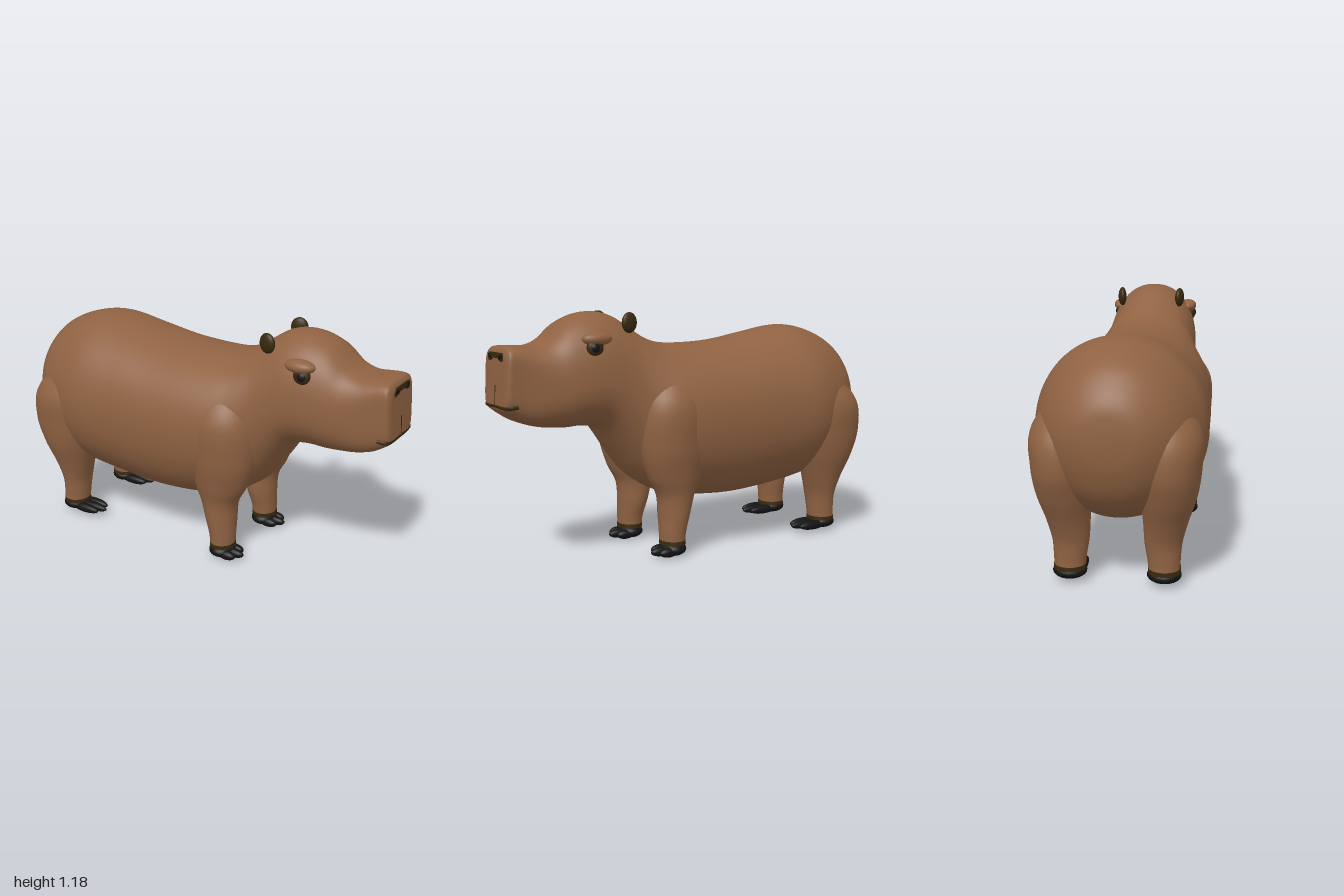
import * as THREE from 'three';

const mat = (name, color) => {
  const m = new THREE.MeshStandardMaterial({ color });
  m.name = name;
  return m;
};

// Closed smooth skin through rings of points (all rings the same length)
function loft(rings) {
  const n = rings[0].length, pts = rings.flat(), idx = [];
  for (let i = 0; i < rings.length - 1; i++) {
    for (let j = 0; j < n; j++) {
      const k = (j + 1) % n, a = i * n + j, b = i * n + k, c = a + n, d = b + n;
      idx.push(a, c, b, b, c, d);
    }
  }
  const mid = ring => ring.reduce((s, p) => s.add(p), new THREE.Vector3()).divideScalar(n);
  const s = pts.length, last = (rings.length - 1) * n;
  pts.push(mid(rings[0]), mid(rings[rings.length - 1]));
  for (let j = 0; j < n; j++) {
    const k = (j + 1) % n;
    idx.push(s, j, k, s + 1, last + k, last + j);
  }
  const g = new THREE.BufferGeometry().setFromPoints(pts);
  g.setIndex(idx);
  g.computeVertexNormals();
  return g;
}

// Smoothly resample rows of numbers, three columns per curve
function resample(rows, steps) {
  const curves = [0, 3].map(o => new THREE.CatmullRomCurve3(
    rows.map(r => new THREE.Vector3(r[o], r[o + 1], r[o + 2] ?? 0)), false, 'catmullrom'));
  return Array.from({ length: steps + 1 }, (_, i) =>
    curves.flatMap(c => c.getPoint(i / steps).toArray()));
}

const power = (v, e) => Math.sign(v) * Math.abs(v) ** e;

// Rump to muzzle: x, bottom, top, half width, height of widest point, squareness
const BODY = [
  [-1.0, 0.66, 0.76, 0.05, 0.71, 2], [-0.985, 0.57, 0.85, 0.14, 0.71, 2],
  [-0.94, 0.46, 0.93, 0.22, 0.70, 2], [-0.86, 0.37, 1.01, 0.295, 0.69, 2],
  [-0.74, 0.30, 1.065, 0.352, 0.68, 2], [-0.6, 0.27, 1.086, 0.387, 0.67, 2.05],
  [-0.4, 0.245, 1.055, 0.377, 0.66, 2.1], [-0.2, 0.235, 1.022, 0.367, 0.65, 2.15],
  [0.0, 0.25, 1.012, 0.355, 0.65, 2.15], [0.15, 0.28, 1.02, 0.335, 0.66, 2.1],
  [0.25, 0.33, 1.05, 0.295, 0.69, 2.1], [0.34, 0.40, 1.105, 0.252, 0.75, 2.1],
  [0.42, 0.51, 1.155, 0.235, 0.81, 2.1], [0.5, 0.62, 1.175, 0.23, 0.85, 2.15],
  [0.59, 0.645, 1.168, 0.222, 0.86, 2.2], [0.68, 0.643, 1.13, 0.205, 0.85, 2.3],
  [0.76, 0.65, 1.06, 0.182, 0.84, 2.6], [0.83, 0.662, 1.03, 0.163, 0.85, 3.2],
  [0.9, 0.685, 1.03, 0.147, 0.87, 4], [0.95, 0.715, 1.031, 0.141, 0.88, 4.6],
  [0.98, 0.737, 1.027, 0.138, 0.88, 5], [0.992, 0.748, 1.015, 0.13, 0.88, 5],
  [0.999, 0.765, 0.995, 0.112, 0.88, 5],
];

function bodyGeometry() {
  return loft(resample(BODY, 110).map(([x, lo, hi, w, cy, n]) =>
    Array.from({ length: 72 }, (_, j) => {
      const a = j / 72 * Math.PI * 2, s = power(Math.sin(a), 2 / n);
      const y = cy + s * (s > 0 ? hi - cy : cy - lo);
      // the face leans back slightly towards its top
      const lean = (y - 0.76) * 0.05 * THREE.MathUtils.smoothstep(x, 0.85, 0.98);
      return new THREE.Vector3(x - lean, y, w * power(Math.cos(a), 2 / n));
    })));
}

// Leg rows: y, centre x, centre z, radius x, radius z
const HIND = [
  [0.06, -0.745, 0.212, 0.066, 0.07], [0.12, -0.742, 0.21, 0.068, 0.074],
  [0.2, -0.74, 0.207, 0.076, 0.084], [0.3, -0.742, 0.217, 0.108, 0.1],
  [0.42, -0.75, 0.23, 0.155, 0.125], [0.55, -0.75, 0.235, 0.193, 0.139],
  [0.7, -0.74, 0.235, 0.18, 0.138], [0.86, -0.71, 0.19, 0.09, 0.09],
];
const FORE = [
  [0.06, 0.19, 0.205, 0.06, 0.068], [0.12, 0.188, 0.203, 0.064, 0.073],
  [0.2, 0.177, 0.197, 0.076, 0.085], [0.3, 0.168, 0.197, 0.096, 0.09],
  [0.4, 0.175, 0.2, 0.14, 0.11], [0.55, 0.185, 0.2, 0.17, 0.138],
  [0.75, 0.19, 0.19, 0.16, 0.145], [0.92, 0.18, 0.14, 0.08, 0.08],
];

function legGeometry(rows, side) {
  return loft(resample(rows, 40).map(([y, cx, cz, rx, rz]) =>
    Array.from({ length: 36 }, (_, j) => {
      const a = j / 36 * Math.PI * 2;
      return new THREE.Vector3(cx + rx * Math.cos(a), y, side * cz + rz * Math.sin(a));
    })));
}

export function createModel() {
  const model = new THREE.Group();
  model.name = 'rodent';
  const fur = mat('brown fur', 0x8f6242);
  const dark = mat('dark brown skin', 0x38290f);
  const black = mat('black hoof', 0x141414);

  const add = (name, geo, material, x = 0, y = 0, z = 0) => {
    const m = new THREE.Mesh(geo, material);
    m.name = name;
    m.position.set(x, y, z);
    model.add(m);
    return m;
  };
  const ball = (name, material, p, r) => {
    const m = add(name, new THREE.SphereGeometry(1, 28, 18), material, ...p);
    m.scale.set(...r);
    return m;
  };

  add('body', bodyGeometry(), fur);

  for (const side of [1, -1]) {
    const label = side > 0 ? 'Left' : 'Right';

    // Legs, ankle bands and feet with three toes
    for (const [kind, rows, base, reach] of [['hind', HIND, 0.012, 0.13], ['front', FORE, 0.0, 0.055]]) {
      const [, cx, cz, rx, rz] = rows[0];
      add(kind + 'Leg' + label, legGeometry(rows, side), fur);
      const band = add(kind + 'Ankle' + label, new THREE.CylinderGeometry(1.03, 1.05, 0.02, 36),
        dark, cx, 0.07, side * cz);
      band.scale.set(rx, 1, rz);
      ball(kind + 'Foot' + label, black, [cx, base + 0.036, side * cz], [rx * 1.08, 0.036, rz * 1.1]);
      for (const t of [-1, 0, 1]) {
        const len = reach - Math.abs(t) * 0.025;
        ball(kind + 'Toe' + label, black, [cx + 0.03 + len / 2, base + 0.028, side * cz + t * 0.04],
          [0.035 + len / 2, 0.024, 0.024]);
      }
    }

    // Ears
    const ear = ball('ear' + label, dark, [0.39, 1.125, side * 0.152], [0.043, 0.048, 0.021]);
    ear.rotation.y = -side * 0.2;

    // Eyes under soft brows
    ball('brow' + label, fur, [0.575, 1.058, side * 0.18], [0.075, 0.032, 0.044]);
    ball('eye' + label, dark, [0.592, 1.018, side * 0.192], [0.042, 0.042, 0.026]);
    ball('pupil' + label, black, [0.597, 1.018, side * 0.2], [0.026, 0.026, 0.022]);

    // Nostrils
    const nostril = ball('nostril' + label, black, [0.99, 0.984, side * 0.055], [0.005, 0.01, 0.025]);
    nostril.rotation.x = -side * 0.35;
  }

  // Nose pad
  const pad = new THREE.Shape();
  pad.moveTo(-0.07, 1.003);
  pad.lineTo(0.07, 1.003);
  pad.quadraticCurveTo(0.09, 0.985, 0.075, 0.965);
  pad.quadraticCurveTo(0.04, 0.965, 0.03, 0.978);
  pad.lineTo(-0.03, 0.978);
  pad.quadraticCurveTo(-0.04, 0.965, -0.075, 0.965);
  pad.quadraticCurveTo(-0.09, 0.985, -0.07, 1.003);
  const padGeo = new THREE.ExtrudeGeometry(pad, { depth: 0.009, bevelEnabled: false });
  padGeo.rotateY(Math.PI / 2);
  add('nose', padGeo, dark, 0.982);

  // Mouth line wrapping round the muzzle, and the groove above it
  const lip = [[0.945, 0.768, 0.136], [0.98, 0.764, 0.128], [0.99, 0.762, 0.09], [0.991, 0.764, 0]];
  const path = [...lip, ...lip.slice(0, 3).reverse().map(([x, y, z]) => [x, y, -z])];
  const curve = new THREE.CatmullRomCurve3(path.map(p => new THREE.Vector3(...p)));
  add('mouth', new THREE.TubeGeometry(curve, 48, 0.0095, 8), dark);
  const groove = add('lipGroove', new THREE.BoxGeometry(0.008, 0.085, 0.005), dark, 0.994, 0.815, 0);
  groove.rotation.z = 0.05;

  return model;
}
